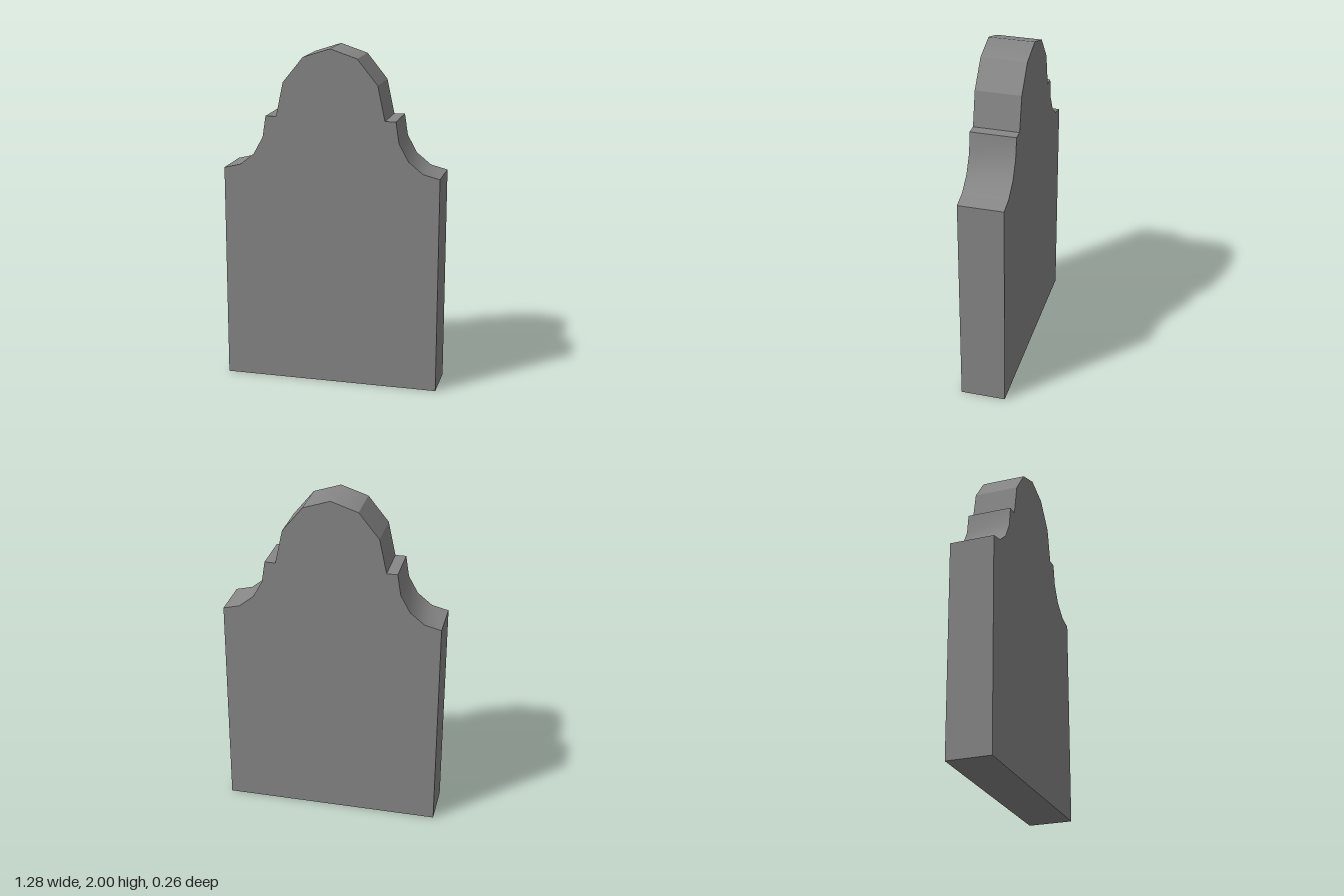
import * as THREE from 'three';
import { toCreasedNormals } from 'three/addons/utils/BufferGeometryUtils.js';

export function createModel() {
  const group = new THREE.Group();
  group.name = 'headstone';
  const depth = 0.264;

  // Right half of the outline: base, concave shoulder, small ledge, faceted crown
  const half = [
    [0.64, 0], [0.64, 1.283],
    [0.543, 1.307], [0.458, 1.375], [0.402, 1.477], [0.383, 1.601],
    [0.32, 1.601], [0.277, 1.801], [0.158, 1.948],
  ];
  const mirrored = half.map(([x, y]) => [-x, y]).reverse();
  const outline = [...half, [0, 2], ...mirrored].map(([x, y]) => new THREE.Vector2(x, y));

  const extruded = new THREE.ExtrudeGeometry(new THREE.Shape(outline), { depth, bevelEnabled: false });
  extruded.translate(0, 0, -depth / 2);

  // Shoulder curves shade smoothly, crown facets and ledges stay sharp
  const slab = toCreasedNormals(extruded, THREE.MathUtils.degToRad(26));

  // The two top facets blend into each other across the peak
  const { position, normal } = slab.attributes;
  for (let i = 0; i < position.count; i++) {
    if (position.getY(i) > 1.999 && Math.abs(normal.getZ(i)) < 0.5) normal.setXYZ(i, 0, 1, 0);
  }

  const mesh = new THREE.Mesh(slab, new THREE.MeshStandardMaterial({ color: 0x878787 }));
  mesh.name = 'stoneSlab';
  group.add(mesh);
  return group;
}
